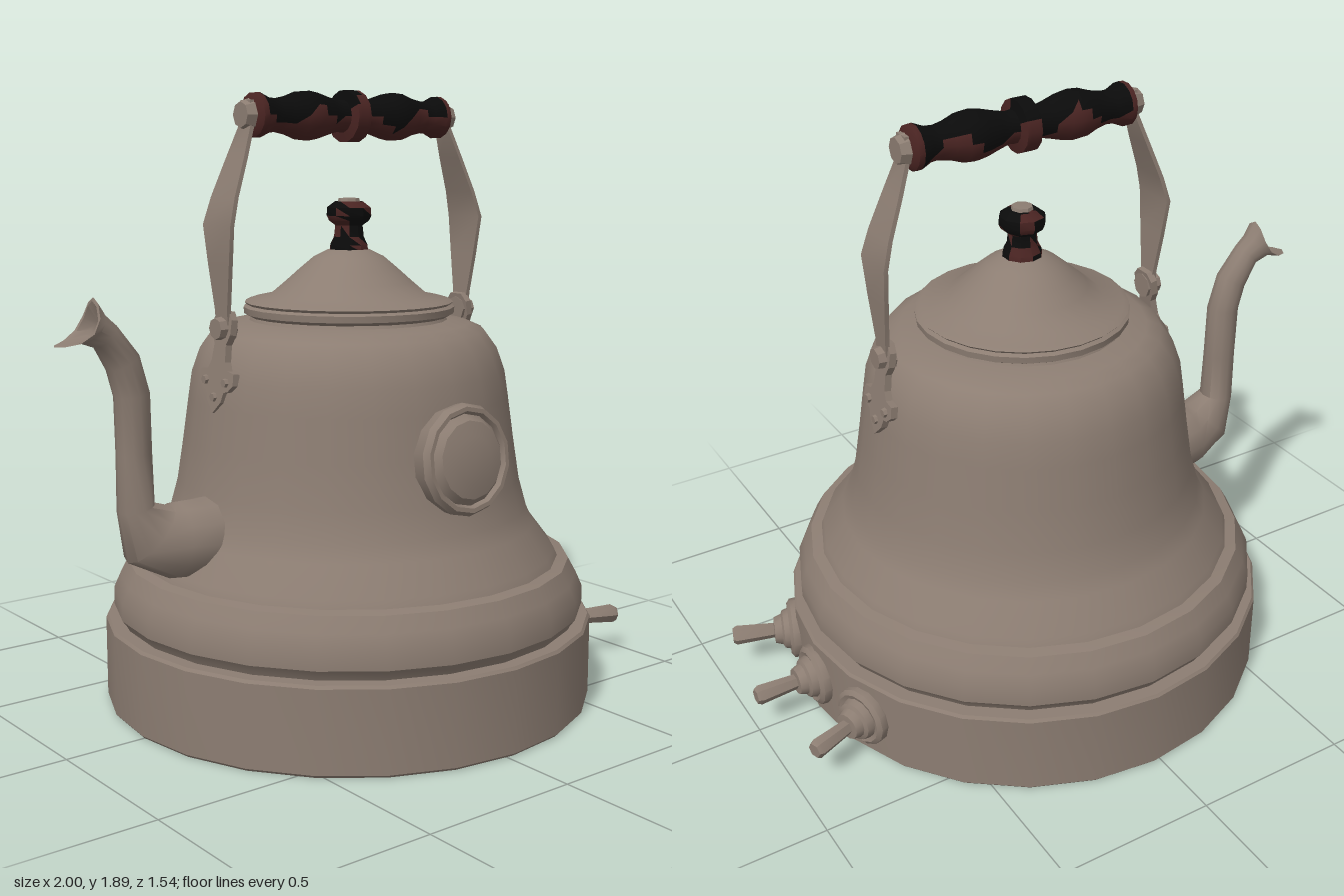
import * as THREE from 'three';
import { toCreasedNormals } from 'three/addons/utils/BufferGeometryUtils.js';

const CX = 0.023; // axis of the round body

const material = (name, color) => {
  const m = new THREE.MeshStandardMaterial({ color });
  m.name = name;
  return m;
};

const lathe = (points, sides, crease = 0.6) =>
  toCreasedNormals(new THREE.LatheGeometry(points.map(([r, y]) => new THREE.Vector2(r, y)), sides), crease);

// Assign each triangle to material 0 or 1 by a rule on its centre
function twoTone(geometry, rule) {
  const p = geometry.attributes.position;
  geometry.clearGroups();
  for (let i = 0; i < p.count; i += 3) {
    const c = new THREE.Vector3();
    for (let k = 0; k < 3; k++) c.add(new THREE.Vector3().fromBufferAttribute(p, i + k));
    const index = rule(c.divideScalar(3)) ? 1 : 0;
    const last = geometry.groups[geometry.groups.length - 1];
    if (last && last.materialIndex === index) last.count += 3;
    else geometry.addGroup(i, 3, index);
  }
  return geometry;
}

// Tube in the xy plane from sections [x, y, heading in degrees, radius, z radius, side pull-back]
function sectionTube(sections, sides) {
  const pos = [], idx = [];
  sections.forEach(([x, y, deg, r, rz, pull = 0], i) => {
    const a = THREE.MathUtils.degToRad(deg), dx = Math.cos(a), dy = Math.sin(a);
    for (let j = 0; j < sides; j++) {
      const t = (j / sides) * Math.PI * 2;
      const n = r * Math.cos(t), back = pull * Math.sin(t) ** 2;
      pos.push(x - dy * n - dx * back, y + dx * n - dy * back, rz * Math.sin(t));
      if (i < sections.length - 1) {
        const p = i * sides + j, q = i * sides + ((j + 1) % sides);
        idx.push(p, q, p + sides, q, q + sides, p + sides);
      }
    }
  });
  const g = new THREE.BufferGeometry();
  g.setAttribute('position', new THREE.Float32BufferAttribute(pos, 3));
  g.setIndex(idx);
  return toCreasedNormals(g, 0.9);
}

// Flat strap that follows rows of [x, y, half width], top to bottom
function strap(rows, thickness) {
  const n = rows.length - 1;
  const g = new THREE.BoxGeometry(1, 1, 1, 1, n, 1);
  const p = g.attributes.position;
  for (let i = 0; i < p.count; i++) {
    const [x, y, w] = rows[Math.round((0.5 - p.getY(i)) * n)];
    p.setXYZ(i, x + p.getX(i) * thickness, y, p.getZ(i) * 2 * w);
  }
  return toCreasedNormals(g, 0.6);
}

export function createModel() {
  const model = new THREE.Group();
  model.name = 'kettle';
  const metal = material('warm grey metal', 0x8c7d72);
  const red = material('dark red wood', 0x4a2422);
  const black = material('worn black', 0x0b0b0b);

  const add = (name, geometry, mat, x = 0, y = 0, z = 0, parent = model) => {
    const mesh = new THREE.Mesh(geometry, mat);
    mesh.name = name;
    mesh.position.set(x, y, z);
    parent.add(mesh);
    return mesh;
  };

  // Round base and bell-shaped body
  add('base', lathe([[0, 0], [0.765, 0], [0.772, 0.008], [0.772, 0.258], [0.765, 0.267], [0.7, 0.267]], 24), metal, CX);
  add('body', lathe([
    [0.72, 0.26], [0.73, 0.28], [0.745, 0.3], [0.745, 0.355], [0.725, 0.4], [0.7, 0.445], [0.665, 0.452],
    [0.655, 0.475], [0.59, 0.56], [0.565, 0.61], [0.54, 0.7], [0.52, 0.83], [0.502, 0.96], [0.49, 1.04],
    [0.465, 1.11], [0.425, 1.165], [0.38, 1.185], [0.31, 1.195], [0.3, 1.215],
  ], 24), metal, CX);

  // Lid
  add('lid', lathe([
    [0.28, 1.2], [0.31, 1.205], [0.328, 1.215], [0.33, 1.235], [0.318, 1.242], [0.326, 1.25], [0.31, 1.258],
    [0.245, 1.272], [0.2, 1.31], [0.155, 1.35], [0.11, 1.388], [0.065, 1.41], [0, 1.42],
  ], 24), metal, CX + 0.003);

  // Lid knob with worn paint
  const knob = lathe([
    [0.062, 1.405], [0.06, 1.425], [0.048, 1.45], [0.044, 1.485], [0.065, 1.5], [0.072, 1.515],
    [0.07, 1.54], [0.045, 1.558], [0, 1.558],
  ], 10);
  twoTone(knob, (c) => Math.sin(c.x * 55 + c.y * 60) + Math.sin(c.z * 60 - c.y * 35) > -0.25);
  add('lidKnob', knob, [red, black], CX + 0.003);
  add('knobCap', lathe([[0.035, 0], [0.032, 0.012], [0, 0.014]], 8), metal, CX + 0.003, 1.556);

  // Spout: elbow, neck and open beak
  add('spout', sectionTube([
    [-0.42, 0.585, 180, 0.12, 0.13], [-0.55, 0.58, 180, 0.118, 0.122], [-0.63, 0.585, 172, 0.115, 0.11],
    [-0.71, 0.615, 135, 0.105, 0.08], [-0.755, 0.7, 100, 0.055, 0.056], [-0.757, 0.86, 91, 0.052, 0.052],
    [-0.76, 1.03, 95, 0.053, 0.05], [-0.787, 1.125, 117, 0.053, 0.048], [-0.842, 1.205, 136, 0.045, 0.045],
    [-0.885, 1.23, 136, 0.055, 0.05, 0.01], [-0.937, 1.25, 136, 0.09, 0.058, 0.045],
    [-0.934, 1.247, 136, 0.08, 0.048, 0.042], [-0.87, 1.22, 136, 0.035, 0.033], [-0.83, 1.19, 136, 0, 0],
  ], 12), metal);

  // Round medallion on the front
  const medallion = lathe([
    [0.15, -0.06], [0.16, -0.03], [0.166, 0.008], [0.155, 0.028], [0.142, 0.028],
    [0.134, 0.014], [0.115, 0.035], [0.07, 0.045], [0, 0.048],
  ], 14).rotateX(Math.PI / 2);
  add('medallion', medallion, metal, 0.025, 0.83, 0.54).rotation.x = -0.12;

  // Three switches around the right of the base
  for (const angle of [-19, 0, 19]) {
    const toggle = new THREE.Group();
    toggle.name = 'switch';
    toggle.position.set(CX, 0.137, 0);
    toggle.rotation.y = THREE.MathUtils.degToRad(angle);
    model.add(toggle);
    const collar = lathe([
      [0.085, 0.73], [0.098, 0.765], [0.096, 0.785], [0.082, 0.795], [0.068, 0.79], [0.062, 0.812],
      [0.05, 0.818], [0.042, 0.842], [0, 0.845],
    ], 14).rotateZ(-Math.PI / 2);
    add('switchCollar', collar, metal, 0, 0, 0, toggle);
    const lever = lathe([[0.022, 0.82], [0.025, 0.86], [0.031, 0.965], [0.024, 0.977], [0, 0.977]], 6).rotateZ(-Math.PI / 2);
    add('switchLever', lever, metal, 0, 0, 0, toggle);
  }

  // Turned grip with worn paint, mirrored about its middle ring
  const handle = new THREE.Group();
  handle.name = 'handle';
  handle.position.x = 0.028;
  model.add(handle);
  const half = [
    [0.08, 0.012], [0.08, 0.024], [0.05, 0.03], [0.047, 0.05], [0.057, 0.09], [0.07, 0.135], [0.075, 0.165],
    [0.072, 0.2], [0.058, 0.24], [0.05, 0.28], [0.052, 0.31], [0.067, 0.345], [0.066, 0.362], [0.05, 0.372], [0, 0.372],
  ];
  const profile = [...half.map(([r, x]) => [r, -x]).reverse(), ...half];
  const grip = lathe(profile, 14).rotateZ(-Math.PI / 2);
  twoTone(grip, (c) => {
    const up = c.y / Math.max(Math.hypot(c.y, c.z), 0.001);
    const ragged = 0.4 * Math.sin(c.x * 31 + 0.6) + 0.3 * Math.sin(c.x * 17 + c.z * 40);
    return Math.abs(c.x) < 0.335 && up > -0.05 + ragged + (Math.abs(c.x) < 0.03 ? 0.35 : 0);
  });
  add('grip', grip, [red, black], 0, 1.817, 0, handle);

  // Pointed mounting plate outline, measured from its rivet
  const right = [[0.025, 0.05], [0.046, 0.025], [0.046, -0.02], [0.03, -0.05], [0.035, -0.1], [0.05, -0.125],
    [0.085, -0.13], [0.088, -0.165], [0.065, -0.185], [0.045, -0.19], [0.035, -0.22], [0, -0.255]];
  const outline = [...right, ...right.slice(0, -1).reverse().map(([u, v]) => [-u, v])];
  const plateShape = new THREE.Shape(outline.map(([u, v]) => new THREE.Vector2(u, v)));

  // Side straps, rivets and mounting plates
  for (const turn of [0, Math.PI]) {
    const side = new THREE.Group();
    side.name = 'handleBracket';
    side.rotation.y = turn;
    handle.add(side);
    const rod = (name, r, length, sides, x, y, z = 0) =>
      add(name, toCreasedNormals(new THREE.CylinderGeometry(r * 0.8, r, length, sides).rotateZ(-Math.PI / 2), 0.6), metal, x, y, z, side);
    add('strap', strap([
      [0.38, 1.86, 0.025], [0.382, 1.79, 0.03], [0.42, 1.69, 0.047], [0.463, 1.58, 0.062], [0.486, 1.5, 0.072],
      [0.481, 1.38, 0.054], [0.474, 1.25, 0.032], [0.47, 1.17, 0.03],
    ], 0.014), metal, 0, 0, 0, side);
    rod('gripCap', 0.048, 0.03, 8, 0.39, 1.817);
    rod('pivotRivet', 0.04, 0.055, 8, 0.475, 1.197);
    const plate = new THREE.ExtrudeGeometry(plateShape, { depth: 0.022, bevelEnabled: false }).rotateY(Math.PI / 2);
    add('mountingPlate', plate, metal, 0.456, 1.197, 0, side).rotation.z = 0.15;
    for (const z of [-0.052, 0.052]) rod('plateRivet', 0.016, 0.02, 6, 0.502, 1.042, z);
    rod('plateRivet', 0.016, 0.02, 6, 0.508, 0.995);
  }

  return model;
}
